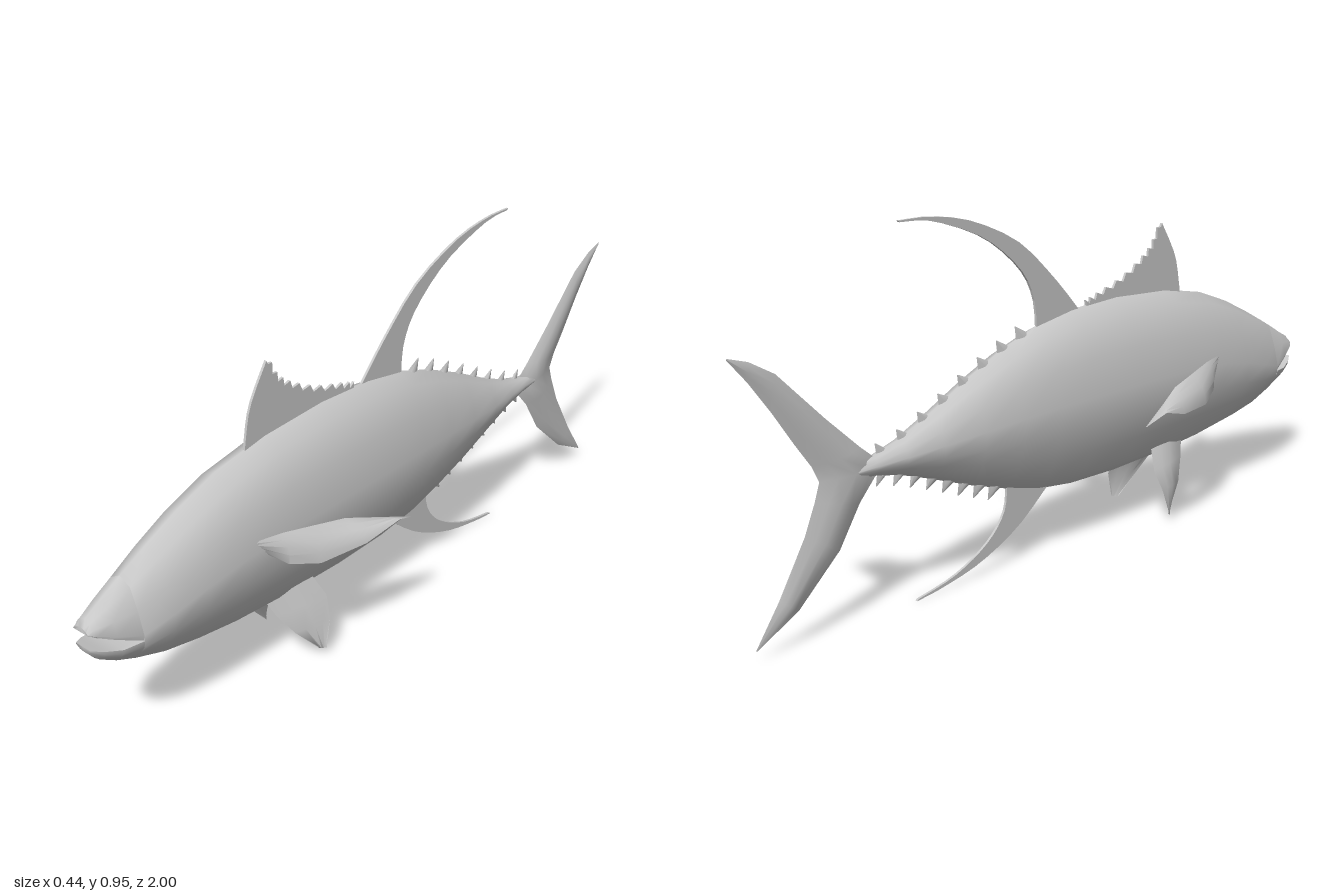
import * as THREE from 'three';
import { toCreasedNormals } from 'three/addons/utils/BufferGeometryUtils.js';

const skin = new THREE.MeshStandardMaterial({ color: 0xc8c8c8, side: THREE.DoubleSide });
skin.name = 'grey skin';

// Skin a list of closed rings of [x, y, z] points, with fan caps on both ends
function loft(rings, capped = true, crease = 1.0) {
  const n = rings[0].length, idx = [];
  for (let i = 0; i < rings.length - 1; i++) {
    for (let j = 0; j < n; j++) {
      const a = i * n + j, b = i * n + (j + 1) % n;
      idx.push(a, b, a + n, b, b + n, a + n);
    }
  }
  if (capped) {
    const e = (rings.length - 1) * n;
    for (let j = 1; j < n - 1; j++) idx.push(0, j + 1, j, e, e + j, e + j + 1);
  }
  const g = new THREE.BufferGeometry();
  g.setAttribute('position', new THREE.Float32BufferAttribute(rings.flat(2), 3));
  g.setIndex(idx);
  g.computeVertexNormals();
  return toCreasedNormals(g, crease);
}

// Body cross-section, from the back down the left side to the belly
const HALF = [[0, 1], [0.48, 0.88], [0.78, 0.5], [1, 0.1], [0.95, -0.25], [0.72, -0.55], [0.45, -0.85], [0, -1]];
const SECTION = [...HALF, ...HALF.slice(1, -1).reverse().map(([x, v]) => [-x, v])];

// Station: [z, top, middle, bottom, half width]
const bodyRing = ([z, top, mid, bot, w]) =>
  SECTION.map(([x, v]) => [x * w, mid + v * (v > 0 ? top - mid : mid - bot), z]);

// Lens-shaped fin; each section is [leading point, trailing point, half thickness]
function blade(sections, thickAxis) {
  return loft(sections.map(([a, b, t]) => {
    const at = (k, s) => a.map((v, i) => v + (b[i] - v) * k + s * t * thickAxis[i]);
    return [a, at(0.25, 0.8), at(0.5, 1), at(0.75, 0.6), b, at(0.75, -0.6), at(0.5, -1), at(0.25, -0.8)];
  }));
}

// Thin upright plate from an outline of [z, y] points
function plate(outline, thick = 0.007) {
  const g = new THREE.ExtrudeGeometry(new THREE.Shape(outline), { depth: thick, bevelEnabled: false });
  g.translate(0, 0, -thick / 2);
  return g.rotateY(-Math.PI / 2);
}

// Smooth [z, y] curve through a few points
const curve = (pts, n = 16) =>
  new THREE.SplineCurve(pts.map(p => new THREE.Vector2(...p))).getPoints(n);

const BODY = [
  [0.88, 0.47, 0.325, 0.25, 0.068],
  [0.8, 0.512, 0.345, 0.22, 0.083],
  [0.7, 0.56, 0.37, 0.197, 0.094],
  [0.58, 0.605, 0.39, 0.178, 0.102],
  [0.42, 0.637, 0.4, 0.166, 0.106],
  [0.22, 0.65, 0.403, 0.16, 0.106],
  [0.05, 0.643, 0.403, 0.165, 0.102],
  [-0.08, 0.622, 0.403, 0.182, 0.095],
  [-0.2, 0.583, 0.4, 0.215, 0.085],
  [-0.32, 0.53, 0.395, 0.255, 0.071],
  [-0.44, 0.47, 0.39, 0.302, 0.054],
  [-0.54, 0.427, 0.385, 0.338, 0.037],
  [-0.62, 0.405, 0.382, 0.356, 0.024],
  [-0.7, 0.398, 0.38, 0.362, 0.016],
];

// Body height at z: column 1 is the back line, 3 the belly line
function edgeAt(z, col) {
  const i = BODY.findIndex(s => s[0] <= z);
  const a = BODY[i - 1], b = BODY[i];
  return THREE.MathUtils.mapLinear(z, a[0], b[0], a[col], b[col]);
}

export function createModel() {
  const fish = new THREE.Group();
  fish.name = 'fish';
  const add = (name, geometry, parent = fish) => {
    const m = new THREE.Mesh(geometry, skin);
    m.name = name;
    parent.add(m);
  };

  add('body', loft(BODY.map(bodyRing), false));

  // Open mouth: a snout with a flat underside over a jaw with a flat top
  add('snout', loft([
    [1.0, 0.397, 0.383, 0.383, 0.025],
    [0.985, 0.41, 0.375, 0.375, 0.037],
    [0.94, 0.437, 0.352, 0.352, 0.052],
    [0.88, 0.47, 0.325, 0.325, 0.068],
  ].map(bodyRing)));
  add('lowerJaw', loft([
    [0.998, 0.342, 0.342, 0.33, 0.025],
    [0.97, 0.333, 0.333, 0.296, 0.042],
    [0.93, 0.322, 0.322, 0.272, 0.055],
    [0.88, 0.325, 0.325, 0.25, 0.068],
  ].map(bodyRing)));

  // First dorsal fin with a saw-toothed trailing edge
  const front = curve([[0.49, 0.6], [0.483, 0.645], [0.462, 0.73], [0.405, 0.825]], 10);
  const back = curve([[0.405, 0.825], [0.375, 0.765], [0.325, 0.725], [0.245, 0.685], [0.16, 0.66], [0.11, 0.645]], 22)
    .map((p, i) => (i % 2 || i === 0 ? p : new THREE.Vector2(p.x - 0.008, p.y + 0.014)));
  add('firstDorsalFin', plate([...front, ...back.slice(1), new THREE.Vector2(0.11, 0.6)]));

  // Sickle-shaped second dorsal and anal fins
  add('secondDorsalFin', plate([
    ...curve([[0.1, 0.61], [0.07, 0.645], [-0.02, 0.74], [-0.14, 0.845], [-0.29, 0.915], [-0.42, 0.943], [-0.525, 0.946]]),
    ...curve([[-0.52, 0.942], [-0.42, 0.932], [-0.26, 0.872], [-0.14, 0.78], [-0.09, 0.695], [-0.08, 0.6]]),
  ]));
  add('analFin', plate([
    ...curve([[0.0, 0.22], [-0.04, 0.185], [-0.155, 0.097], [-0.29, 0.037], [-0.42, 0.009], [-0.5, 0]]),
    ...curve([[-0.495, 0.004], [-0.37, 0.03], [-0.26, 0.085], [-0.2, 0.155], [-0.19, 0.24]]),
  ]));

  // Rows of finlets along the back and belly toward the tail
  const finlets = new THREE.Group();
  finlets.name = 'finlets';
  fish.add(finlets);
  const row = (name, col, up, z0, count) => {
    for (let i = 0; i < count; i++) {
      const z = THREE.MathUtils.lerp(z0, -0.57, i / (count - 1));
      const size = THREE.MathUtils.lerp(1, 0.75, i / (count - 1));
      const zb = z - 0.05 * size, zt = z - 0.052 * size;
      const tip = [0, edgeAt(zt, col) + up * 0.034 * size, zt];
      add(name, blade([
        [[0, edgeAt(z, col) - up * 0.012, z], [0, edgeAt(zb, col) - up * 0.012, zb], 0.009 * size],
        [tip, [0, tip[1], zt - 0.004], 0.001],
      ], [1, 0, 0]), finlets);
    }
  };
  row('upperFinlet', 1, 1, -0.1, 8);
  row('lowerFinlet', 3, -1, -0.2, 8);

  // Forked tail, lower tip to upper tip
  add('tailFin', blade([
    [[0, 0.028, -0.965], [0, 0.03, -0.968], 0.001],
    [[0, 0.088, -0.848], [0, 0.128, -0.9], 0.008],
    [[0, 0.2, -0.725], [0, 0.26, -0.822], 0.013],
    [[0, 0.3, -0.662], [0, 0.335, -0.79], 0.016],
    [[0, 0.38, -0.59], [0, 0.38, -0.775], 0.019],
    [[0, 0.435, -0.655], [0, 0.42, -0.793], 0.016],
    [[0, 0.525, -0.75], [0, 0.485, -0.838], 0.013],
    [[0, 0.655, -0.878], [0, 0.57, -0.893], 0.009],
    [[0, 0.695, -0.945], [0, 0.65, -0.95], 0.005],
    [[0, 0.712, -0.998], [0, 0.709, -0.999], 0.001],
  ], [1, 0, 0]));

  // Paired fins
  for (const s of [1, -1]) {
    const side = s > 0 ? 'left' : 'right';
    const mir = secs => secs.map(([a, b, t]) => [[s * a[0], a[1], a[2]], [s * b[0], b[1], b[2]], t]);
    add(side + 'PectoralFin', blade(mir([
      [[0.09, 0.4, 0.53], [0.09, 0.44, 0.57], 0.008],
      [[0.135, 0.362, 0.485], [0.112, 0.438, 0.48], 0.011],
      [[0.168, 0.342, 0.41], [0.13, 0.427, 0.4], 0.011],
      [[0.2, 0.35, 0.28], [0.148, 0.41, 0.3], 0.009],
      [[0.221, 0.38, 0.18], [0.178, 0.383, 0.21], 0.005],
      [[0.21, 0.354, 0.113], [0.206, 0.353, 0.115], 0.001],
    ]), [s * 0.8, 0.6, 0]));
    add(side + 'PelvicFin', blade(mir([
      [[0.03, 0.21, 0.475], [0.05, 0.21, 0.32], 0.012],
      [[0.05, 0.155, 0.45], [0.08, 0.155, 0.3], 0.012],
      [[0.075, 0.095, 0.412], [0.102, 0.1, 0.312], 0.009],
      [[0.095, 0.023, 0.348], [0.11, 0.024, 0.335], 0.003],
    ]), [s * 0.9, 0.4, 0]));
  }
  return fish;
}
